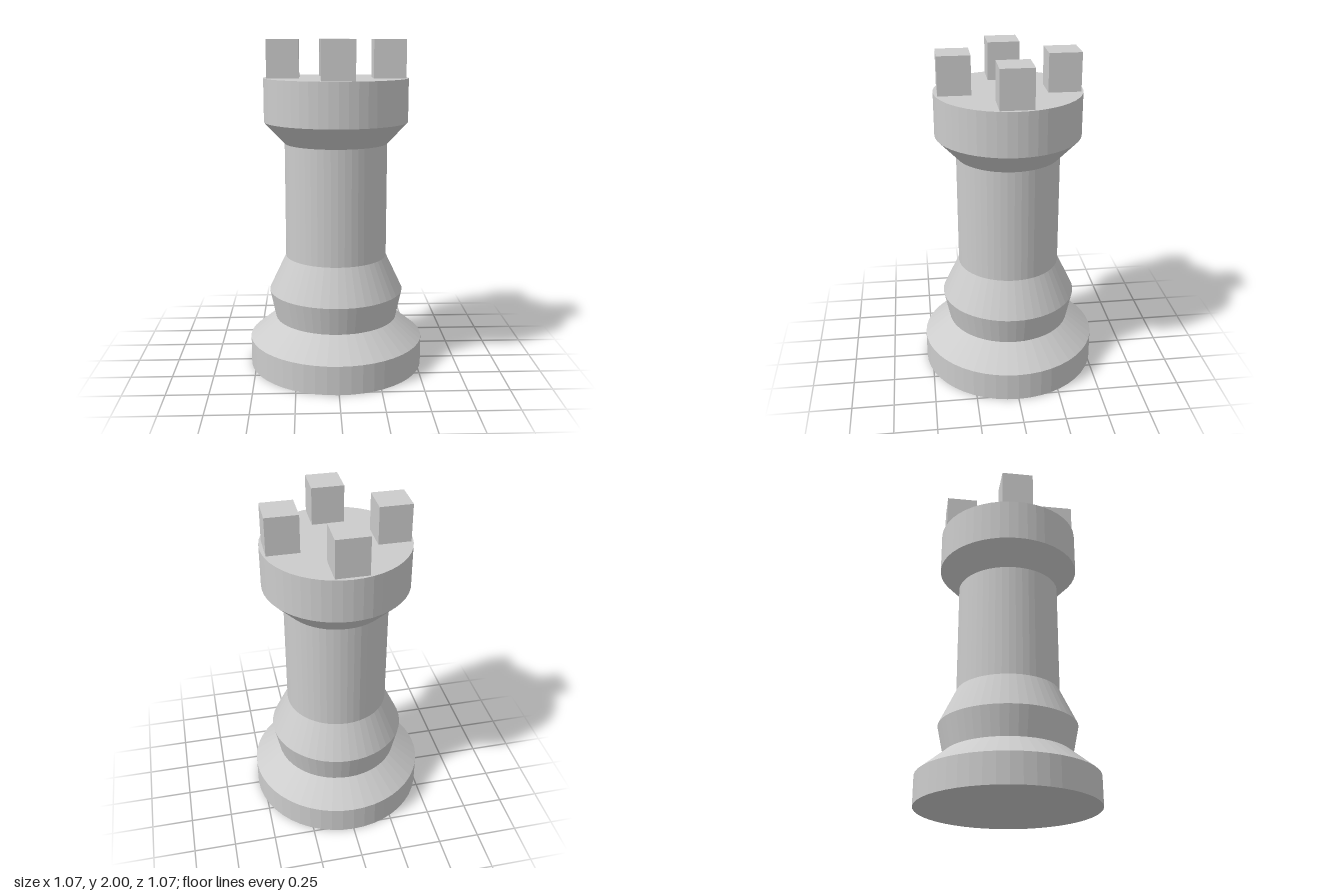
import * as THREE from 'three';

const SIDES = 48;

export function createModel() {
  const model = new THREE.Group();
  model.name = 'chessRook';
  const stone = new THREE.MeshStandardMaterial({ color: 0xcccccc, flatShading: true });
  stone.name = 'light grey';

  const add = (name, geometry, x = 0, y = 0, z = 0) => {
    const mesh = new THREE.Mesh(geometry, stone);
    mesh.name = name;
    mesh.position.set(x, y, z);
    model.add(mesh);
  };

  // Turned parts, each a profile of [radius, height] from bottom to top
  const turned = (name, profile) => add(name, new THREE.LatheGeometry(
    profile.map(([r, y]) => new THREE.Vector2(r, y)), SIDES));

  turned('base', [[0, 0], [0.535, 0], [0.535, 0.175], [0.376, 0.305]]);
  turned('collar', [[0.376, 0.305], [0.412, 0.477], [0.309, 0.694]]);
  turned('shaft', [[0.309, 0.694], [0.309, 1.388]]);
  turned('head', [[0.309, 1.388], [0.431, 1.517], [0.431, 1.775], [0, 1.775]]);

  // Four square battlements around the rim
  const block = new THREE.BoxGeometry(0.19, 0.225, 0.19);
  for (const [x, z] of [[1, 0], [0, 1], [-1, 0], [0, -1]]) {
    add('battlement', block, x * 0.313, 1.8875, z * 0.313);
  }
  return model;
}
